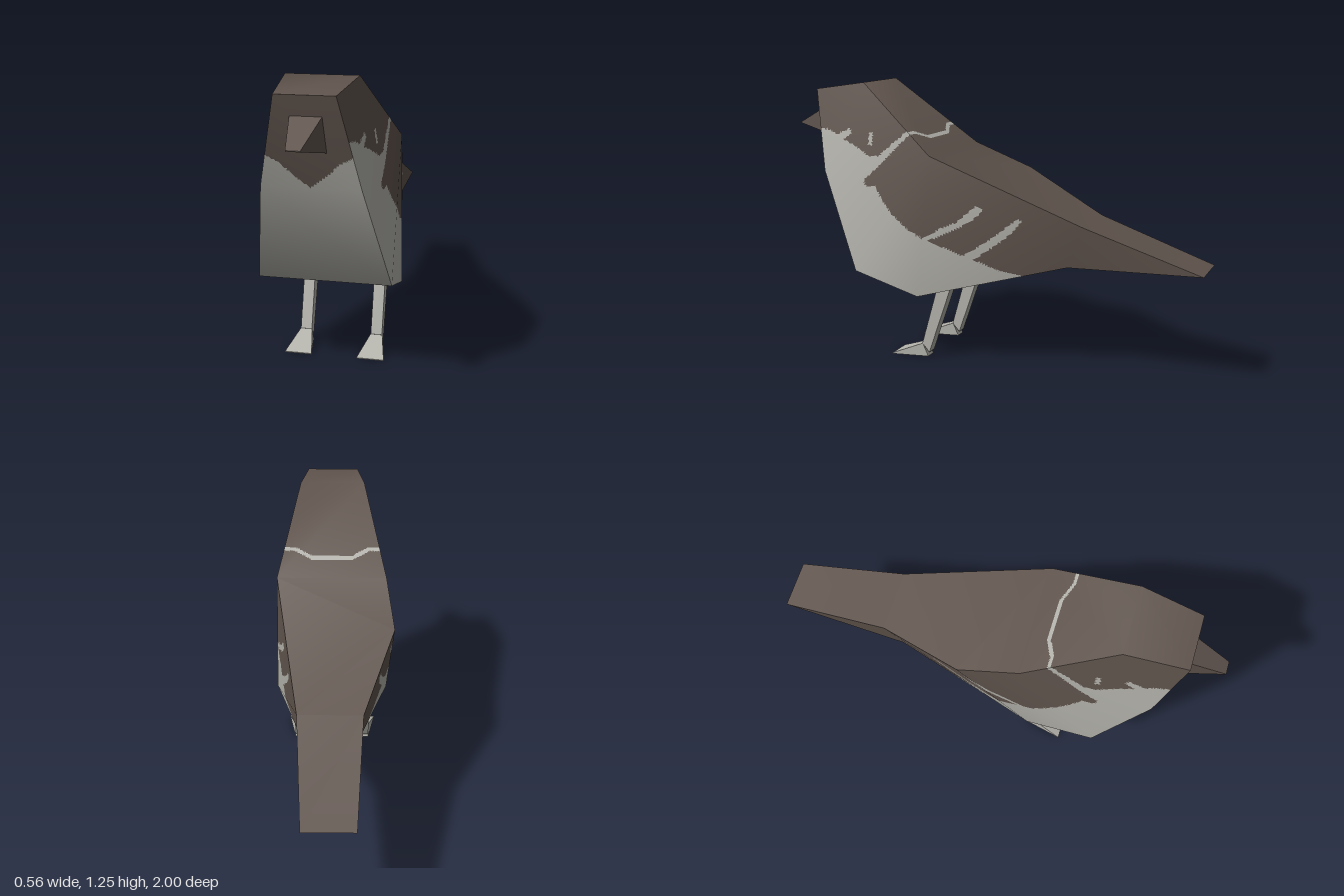
import * as THREE from 'three';
import { toCreasedNormals } from 'three/addons/utils/BufferGeometryUtils.js';

const brown = new THREE.MeshStandardMaterial({ color: 0x61554e });
brown.name = 'brown plumage';
const grey = new THREE.MeshStandardMaterial({ color: 0xb4b3ac });
grey.name = 'pale grey';

// Body profile points: half width, height, depth
const P = {
  F: [0.12, 1.21, 0.84], C: [0.15, 1.25, 0.57], N: [0.25, 0.95, 0.19], L: [0.28, 0.84, -0.08],
  B: [0.14, 0.67, -0.48], T: [0.11, 0.5, -1], U: [0.12, 0.48, -0.41], G: [0.268, 0.31, 0.25],
  K: [0.28, 0.4, 0.56], H: [0.2, 0.84, 0.76],
};
const at = (name, side) => new THREE.Vector3(side * P[name][0], P[name][1], P[name][2]);

// Marking outlines on the flanks, as [z, y]
const mask = [[0.9, 1.03], [0.755, 1.03], [0.7, 1.01], [0.633, 1.04], [0.615, 1.02], [0.66, 0.99], [0.57, 0.955],
  [0.515, 0.925], [0.46, 0.93], [0.3, 1.06], [0.3, 1.4], [0.9, 1.4]];
const wing = [[0.28, 1.055], [0.43, 0.91], [0.47, 0.87], [0.535, 0.82], [0.525, 0.79], [0.47, 0.795], [0.43, 0.735],
  [0.38, 0.685], [0.31, 0.625], [0.25, 0.59], [0.115, 0.54], [0.035, 0.51], [-0.045, 0.485], [-0.125, 0.453],
  [-0.23, 0.43], [-0.3, 0.4], [-1.1, 0.4], [-1.1, 1.2], [0.28, 1.2]];
const bars = [
  [[0.24, 0.575], [0.18, 0.605], [0.14, 0.63], [0.07, 0.66], [-0.02, 0.74], [-0.05, 0.72], [0, 0.67], [0.1, 0.615], [0.2, 0.57]],
  [[0.05, 0.505], [-0.05, 0.57], [-0.13, 0.63], [-0.2, 0.69], [-0.225, 0.685], [-0.16, 0.61], [-0.08, 0.55], [0, 0.49]],
  [[0.52, 0.975], [0.52, 1.03], [0.5, 1.03], [0.5, 0.975]],
];

function inside(poly, x, y) {
  let hit = false;
  poly.forEach(([ax, ay], i) => {
    const [bx, by] = poly[(i + 1) % poly.length];
    if ((ay > y) !== (by > y) && x < ax + ((bx - ax) * (y - ay)) / (by - ay)) hit = !hit;
  });
  return hit;
}

// Each rule says whether a point is brown
const isBrown = {
  flank: (p) => (inside(mask, p.z, p.y) || inside(wing, p.z, p.y)) && !bars.some((b) => inside(b, p.z, p.y)),
  bib: (p) => {
    const x = Math.abs(p.x);
    return p.y > (x < 0.12 ? 0.845 + 0.1 * (x / 0.12) ** 1.2 : 0.945 + (x - 0.12) * 0.5);
  },
  nape: (p) => Math.abs(p.z - (Math.abs(p.x) < 0.09 ? 0.268 : 0.268 + 0.035 * Math.min(1, (Math.abs(p.x) - 0.09) / 0.08))) > 0.008,
  underTail: (p) => p.z < -0.41 - 0.55 * (p.x + 0.12),
  back: () => true,
  belly: () => false,
};
const cell = { flank: 0.014, bib: 0.012, nape: 0.009, underTail: 0.02 };

function bodyGeometry() {
  const tris = [];
  const centre = new THREE.Vector3(0, 0.65, 0.2);
  const add = (rule, a, b, c) => {
    const n = b.clone().sub(a).cross(c.clone().sub(a));
    const outward = n.dot(a.clone().add(b).add(c).divideScalar(3).sub(centre)) > 0;
    tris.push({ rule, pts: outward ? [a, b, c] : [a, c, b] });
  };
  // Flanks; the right one carries one more point along the back edge
  for (const s of [1, -1]) {
    const fan = s > 0 ? ['FCH', 'CNH', 'NKH', 'NGK', 'NBG', 'BUG', 'BTU']
      : ['FCH', 'CNH', 'NKH', 'NLK', 'LGK', 'LBG', 'BUG', 'BTU'];
    for (const t of fan) add('flank', ...[...t].map((k) => at(k, s)));
  }
  // Strips joining both flanks
  const strip = (rule, a, b) => {
    add(rule, at(a, 1), at(a, -1), at(b, 1));
    add(rule, at(a, -1), at(b, -1), at(b, 1));
  };
  strip('back', 'F', 'C');
  strip('nape', 'C', 'N');
  add('back', at('N', 1), at('N', -1), at('L', -1));
  add('back', at('N', 1), at('L', -1), at('B', 1));
  add('back', at('L', -1), at('B', -1), at('B', 1));
  strip('back', 'B', 'T');
  strip('underTail', 'U', 'T');
  strip('belly', 'G', 'U');
  strip('belly', 'K', 'G');
  strip('belly', 'H', 'K');
  strip('bib', 'F', 'H');

  const coarse = toCreasedNormals(new THREE.BufferGeometry().setFromPoints(tris.flatMap((t) => t.pts)), 1.0);
  const normals = coarse.getAttribute('normal');

  // Divide every face finely enough for its markings and sort the cells by colour
  const out = [{ pos: [], nor: [] }, { pos: [], nor: [] }];
  tris.forEach(({ rule, pts }, t) => {
    const nrm = [0, 1, 2].map((i) => new THREE.Vector3().fromBufferAttribute(normals, 3 * t + i));
    const longest = Math.max(...pts.map((p, i) => p.distanceTo(pts[(i + 1) % 3])));
    const n = cell[rule] ? Math.ceil(longest / cell[rule]) : 1;
    const mix = (v, i, j) => new THREE.Vector3()
      .addScaledVector(v[0], 1 - (i + j) / n).addScaledVector(v[1], i / n).addScaledVector(v[2], j / n);
    const emit = (...ij) => {
      const p = ij.map(([i, j]) => mix(pts, i, j));
      const mid = p[0].clone().add(p[1]).add(p[2]).divideScalar(3);
      const o = out[isBrown[rule](mid) ? 0 : 1];
      p.forEach((v) => o.pos.push(v.x, v.y, v.z));
      ij.forEach(([i, j]) => o.nor.push(...mix(nrm, i, j).normalize().toArray()));
    };
    for (let i = 0; i < n; i++) {
      for (let j = 0; j < n - i; j++) {
        emit([i, j], [i + 1, j], [i, j + 1]);
        if (i + j < n - 1) emit([i + 1, j], [i + 1, j + 1], [i, j + 1]);
      }
    }
  });
  const g = new THREE.BufferGeometry();
  g.setAttribute('position', new THREE.Float32BufferAttribute(out[0].pos.concat(out[1].pos), 3));
  g.setAttribute('normal', new THREE.Float32BufferAttribute(out[0].nor.concat(out[1].nor), 3));
  const split = out[0].pos.length / 3;
  g.addGroup(0, split, 0);
  g.addGroup(split, out[1].pos.length / 3, 1);
  return g;
}

// Box whose corners are placed by a rule: corner(sx, sy, sz) returns [x, y, z]
function shapedBox(name, material, corner) {
  let g = new THREE.BoxGeometry(2, 2, 2);
  const p = g.getAttribute('position');
  for (let i = 0; i < p.count; i++) p.setXYZ(i, ...corner(p.getX(i), p.getY(i), p.getZ(i)));
  g = g.toNonIndexed();
  g.computeVertexNormals();
  const mesh = new THREE.Mesh(g, material);
  mesh.name = name;
  return mesh;
}

export function createModel() {
  const bird = new THREE.Group();
  bird.name = 'bird';

  const body = new THREE.Mesh(bodyGeometry(), [brown, grey]);
  body.name = 'body';
  bird.add(body);

  // Beak narrows to a short flat edge
  bird.add(shapedBox('beak', brown, (x, y, z) => (z > 0
    ? [x * 0.028, 1.035 + y * 0.002, 1]
    : [x * (y > 0 ? 0.065 : 0.074), y > 0 ? 1.135 : 0.985, y > 0 ? 0.81 : 0.78])));

  for (const s of [1, -1]) {
    const leg = new THREE.Group();
    leg.name = s > 0 ? 'leftLeg' : 'rightLeg';
    // Shank leans forward towards the foot
    leg.add(shapedBox('shank', grey, (x, y, z) => [s * 0.16 + x * 0.025,
      y > 0 ? 0.38 : (z > 0 ? 0.06 : 0.02), y > 0 ? (z > 0 ? 0.178 : 0.11) : (z > 0 ? 0.27 : 0.235)]));
    // Wedge foot spreads to the toes
    leg.add(shapedBox('foot', grey, (x, y, z) => (z > 0
      ? [s * 0.16 + x * 0.06, y > 0 ? 0.004 : 0, 0.41]
      : [s * 0.16 + x * 0.026, y > 0 ? 0.06 : 0, y > 0 ? 0.268 : 0.24])));
    bird.add(leg);
  }
  return bird;
}
